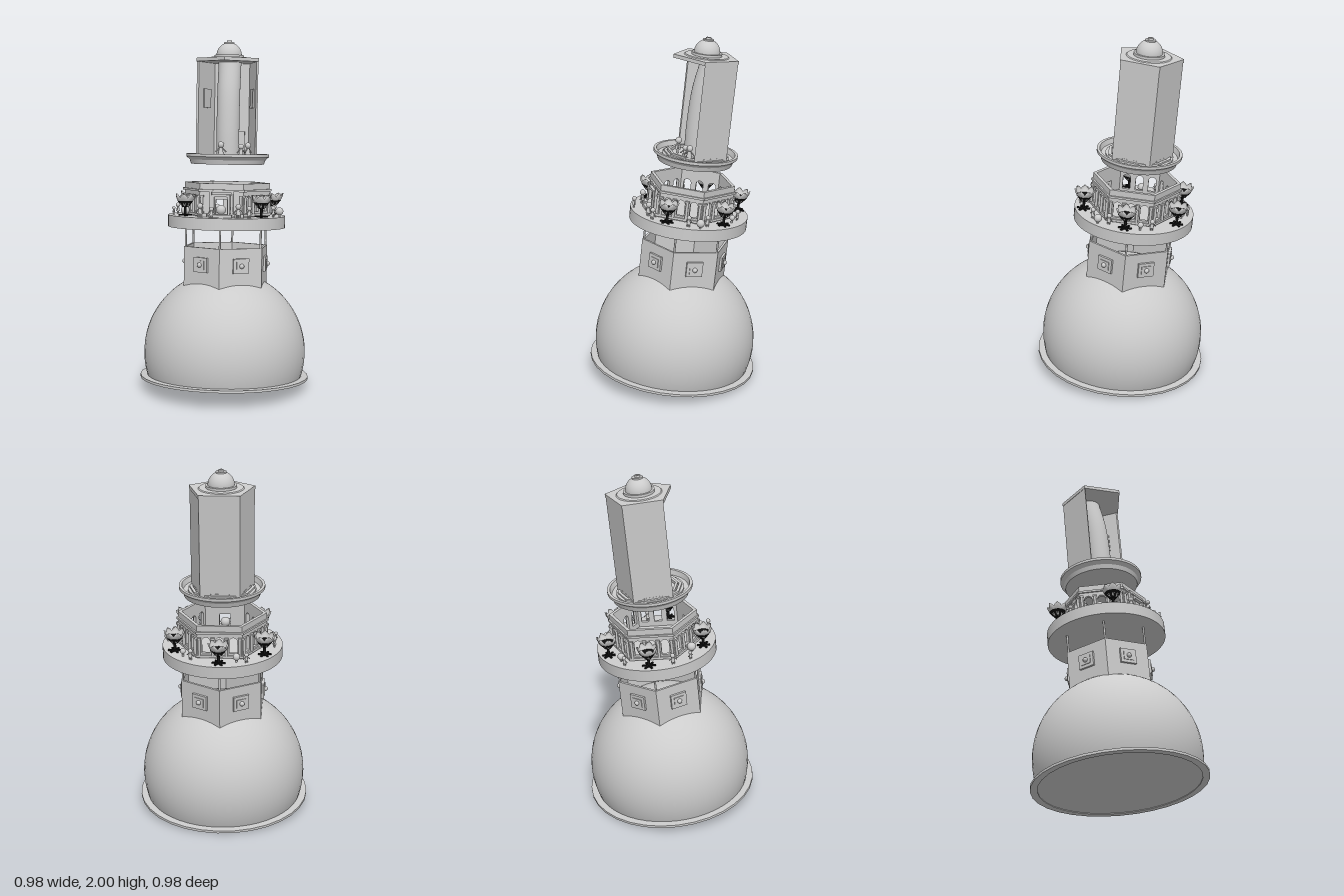
import * as THREE from 'three';

const TAU = Math.PI * 2;
const smooth = new THREE.MeshStandardMaterial({ color: 0xcccccc, side: THREE.DoubleSide });
const flat = new THREE.MeshStandardMaterial({ color: 0xcccccc, side: THREE.DoubleSide, flatShading: true });
const dark = new THREE.MeshStandardMaterial({ color: 0x111111, side: THREE.DoubleSide });

function add(parent, name, geo, mat = smooth, x = 0, y = 0, z = 0) {
  const m = new THREE.Mesh(geo, mat);
  m.name = name;
  m.position.set(x, y, z);
  parent.add(m);
  return m;
}
const box = (w, h, d) => new THREE.BoxGeometry(w, h, d);
const ball = (r, n = 16) => new THREE.SphereGeometry(r, n, Math.ceil(n * 0.6));
const rod = (r, h, n = 8) => new THREE.CylinderGeometry(r, r, h, n);

// turned profile; every span gets its own crisp normals
function turned(parent, name, pts, seg = 48) {
  const g = new THREE.Group();
  g.name = name;
  for (let i = 0; i + 1 < pts.length; i++) {
    const span = [pts[i], pts[i + 1]].map(p => new THREE.Vector2(...p));
    add(g, name + 'Band', new THREE.LatheGeometry(span, seg));
  }
  parent.add(g);
  return g;
}

// regular polygon in plan, angle 0 pointing to the front
const corner = (n, r, k, turn = 0) => {
  const a = (k + turn) * TAU / n;
  return new THREE.Vector2(r * Math.sin(a), -r * Math.cos(a));
};
const polygon = (n, r, turn = 0) => Array.from({ length: n }, (_, k) => corner(n, r, k, turn));
function prism(points, height, hole) {
  const s = new THREE.Shape(points);
  if (hole) s.holes.push(new THREE.Path(hole));
  return new THREE.ExtrudeGeometry(s, { depth: height, bevelEnabled: false }).rotateX(-Math.PI / 2);
}
// group turned about the axis, its +z facing outward
function facing(parent, name, angle) {
  const g = new THREE.Group();
  g.name = name;
  g.rotation.y = angle;
  parent.add(g);
  return g;
}

function figure(parent, x, y, z, s = 1) {
  const g = new THREE.Group();
  g.name = 'figure';
  add(g, 'body', new THREE.CylinderGeometry(0.008, 0.014, 0.032, 10), smooth, 0, 0.034, 0);
  add(g, 'head', ball(0.016), smooth, 0, 0.064, 0);
  for (const d of [-1, 1]) {
    add(g, 'leg', rod(0.005, 0.02), smooth, d * 0.007, 0.01, 0);
    add(g, 'arm', rod(0.0035, 0.028), smooth, d * 0.018, 0.038, 0).rotation.z = d * 0.8;
  }
  g.position.set(x, y, z);
  g.rotation.y = Math.atan2(x, z);
  g.scale.setScalar(s);
  parent.add(g);
}

// curved pointed petal: flat grid bent up and outward
function petalGeometry() {
  const g = new THREE.PlaneGeometry(1, 1, 6, 8);
  const p = g.attributes.position;
  for (let i = 0; i < p.count; i++) {
    const u = p.getX(i) * 2, t = p.getY(i) + 0.5;
    const w = 0.026 * Math.sqrt(Math.sin(Math.PI * (0.12 + 0.88 * t)) + 0.001);
    const r = 0.018 + 0.034 * Math.sin(t * 1.7) + 0.008 * t * t;
    p.setXYZ(i, u * w, 0.075 * t, r - 0.009 * u * u);
  }
  g.computeVertexNormals();
  return g;
}

function lotus(parent, x, y, z) {
  const g = new THREE.Group();
  g.name = 'lotus';
  add(g, 'stem', rod(0.008, 0.06), dark, 0, 0.03, 0);
  for (let k = 0; k < 3; k++) add(g, 'foot', box(0.075, 0.008, 0.01), dark, 0, 0.008, 0).rotation.y = k * TAU / 6;
  add(g, 'cup', new THREE.CylinderGeometry(0.046, 0.018, 0.035, 20), dark, 0, 0.07, 0);
  const petal = petalGeometry();
  for (let k = 0; k < 7; k++) add(g, 'petal', petal, smooth, 0, 0.053, 0).rotation.y = k * TAU / 7;
  g.position.set(x, y, z);
  parent.add(g);
}

// wall panel with arched or square openings
function wallGeometry(w, h, openings) {
  const s = new THREE.Shape([[-w / 2, 0], [w / 2, 0], [w / 2, h], [-w / 2, h]].map(p => new THREE.Vector2(...p)));
  for (const [cx, hw, y0, y1, arched] of openings) {
    const p = new THREE.Path();
    p.moveTo(cx - hw, y0);
    p.lineTo(cx + hw, y0);
    p.lineTo(cx + hw, y1);
    if (arched) p.absarc(cx, y1, hw, 0, Math.PI, false);
    else p.lineTo(cx - hw, y1);
    p.closePath();
    s.holes.push(p);
  }
  return new THREE.ExtrudeGeometry(s, { depth: 0.018, bevelEnabled: false, curveSegments: 8 });
}

export function createModel() {
  const model = new THREE.Group();
  model.name = 'domedTower';
  const axis = new THREE.Group();
  axis.name = 'leaningAxis';
  axis.rotation.x = -0.107;
  axis.position.y = 0.053;
  model.add(axis);

  // base plate and great dome
  turned(axis, 'basePlate', [[0, 0.004], [0.45, 0.004], [0.45, 0], [0.49, 0], [0.49, 0.014], [0.4, 0.014]], 32);
  add(axis, 'greatDome', new THREE.SphereGeometry(0.47, 48, 32, 0, TAU, 0, Math.acos(-0.135 / 0.47)), smooth, 0, 0.15, 0);

  // six-sided drum with plaques and poles
  add(axis, 'drum', prism(polygon(6, 0.26), 0.235, polygon(6, 0.245)), flat, 0, 0.535, 0);
  for (let k = 0; k < 6; k++) {
    const f = facing(axis, 'plaque', (k + 0.5) * TAU / 6);
    add(f, 'plaqueBoard', box(0.095, 0.085, 0.018), flat, 0, 0.672, 0.229);
    add(f, 'plaqueField', box(0.06, 0.05, 0.012), flat, 0, 0.672, 0.236);
    add(f, 'plaqueBoss', ball(0.014), smooth, 0, 0.672, 0.244);
    const c = corner(6, 0.25, k);
    add(axis, 'pole', rod(0.006, 0.2), smooth, c.x, 0.81, -c.y);
  }

  // garden platform
  turned(axis, 'platform', [[0, 0.88], [0.34, 0.88], [0.34, 0.948], [0, 0.948]], 64);
  const deck = 0.948;
  for (const [x, z] of [[0, -0.295], [-0.245, -0.16], [0.257, -0.13], [-0.21, 0.197], [0.225, 0.19]]) lotus(axis, x, deck, z);
  const people = [[-0.115, 0.255, 1], [0.105, 0.27, 1], [0.165, 0.26, 0.85], [-0.04, 0.32, 0.8], [0.28, 0.08, 0.8],
    [0.16, -0.24, 0.8], [-0.295, -0.035, 0.8], [-0.15, -0.265, 0.7], [0.275, -0.03, 0.8], [-0.3, 0.07, 0.6]];
  for (const [x, z, s] of people) figure(axis, x, deck, z, s);
  for (const [x, z, r] of [[-0.225, 0.115, 0.025], [0.31, 0.02, 0.023], [-0.095, -0.26, 0.02], [0.205, -0.195, 0.016]]) {
    add(axis, 'bush', ball(r), smooth, x, deck + 0.03, z);
    add(axis, 'bushTrunk', rod(0.006, 0.03), smooth, x, deck + 0.015, z);
  }

  // six-sided arcade, one flat side to the front
  const arches = [-0.075, 0, 0.075].map(x => [x, 0.022, 0.03, 0.1, true]);
  const sideWall = wallGeometry(0.25, 0.19, arches);
  const frontWall = wallGeometry(0.25, 0.19, [[0, 0.032, 0.002, 0.1, false]]);
  for (let k = 0; k < 6; k++) {
    const f = facing(axis, k ? 'arcadeSide' : 'entranceSide', k * TAU / 6);
    add(f, 'wall', k ? sideWall : frontWall, flat, 0, deck, 0.198);
    add(f, 'cornice', box(0.256, 0.012, 0.012), flat, 0, deck + 0.15, 0.219);
    add(f, 'plinth', box(0.256, 0.014, 0.012), flat, 0, deck + 0.012, 0.219);
    for (const x of [-0.112, -0.0375, 0.0375, 0.112]) {
      if (!k && Math.abs(x) < 0.1) continue;
      add(f, 'column', rod(0.008, 0.1), smooth, x, deck + 0.068, 0.222);
      add(f, 'capital', box(0.022, 0.01, 0.016), flat, x, deck + 0.118, 0.222);
    }
    if (k) continue;
    // stepped door surround and porch
    for (const [hw, h, z] of [[0.062, 0.148, 0.222], [0.045, 0.122, 0.23]]) {
      for (const d of [-1, 1]) add(f, 'doorJamb', box(0.014, h, 0.018), flat, d * hw, deck + h / 2, z);
      add(f, 'doorLintel', box(hw * 2 + 0.014, 0.014, 0.018), flat, 0, deck + h, z);
    }
    add(f, 'porchStep', box(0.13, 0.016, 0.05), flat, 0, deck + 0.008, 0.238);
    add(f, 'doorOrb', ball(0.028), smooth, 0, deck + 0.042, 0.225);
    for (const d of [-1, 1]) add(f, 'bench', box(0.05, 0.02, 0.02), flat, d * 0.105, deck + 0.01, 0.235);
  }

  // upper dish with raised rim
  turned(axis, 'dish', [[0, 1.245], [0.212, 1.245], [0.22, 1.27], [0.24, 1.288], [0.24, 1.304],
    [0.224, 1.304], [0.215, 1.275], [0.19, 1.275], [0.19, 1.283], [0, 1.283]], 56);
  add(axis, 'basinStep', prism(polygon(10, 0.182, 0.5), 0.012, polygon(10, 0.165, 0.5)), flat, 0, 1.28, 0);
  add(axis, 'basinRim', prism(polygon(10, 0.16, 0.5), 0.02, polygon(10, 0.145, 0.5)), flat, 0, 1.28, 0);

  // five-sided shrine: three walls, two open front sides
  const outer = [1, 2, 3, 4].map(k => corner(5, 0.187, k));
  const inner = [4, 3, 2, 1].map(k => corner(5, 0.175, k));
  add(axis, 'shrineWalls', prism([...outer, ...inner], 0.55, null), flat, 0, 1.283, 0);
  for (const k of [1.5, 3.5]) {
    const f = facing(axis, 'wallPanel', k * TAU / 5);
    add(f, 'panelBoard', box(0.085, 0.11, 0.01), flat, 0, 1.625, 0.139);
  }
  add(axis, 'backPanel', box(0.16, 0.15, 0.012), flat, 0, 1.36, -0.135);
  const path = new THREE.CatmullRomCurve3([[1.28, 0.0], [1.45, 0.005], [1.65, -0.005], [1.835, -0.04]]
    .map(([y, z]) => new THREE.Vector3(0, y, z)));
  add(axis, 'innerColumn', new THREE.TubeGeometry(path, 24, 0.066, 32));
  for (const [x, z, s] of [[-0.025, 0.1, 1.15], [0.09, 0.09, 1], [0.128, 0.075, 1.1]]) figure(axis, x, 1.283, z, s);

  // roof plate, mouldings and crowning dome
  add(axis, 'roofPlate', prism(polygon(5, 0.19), 0.02), flat, 0, 1.833, 0);
  turned(axis, 'roofMoulding', [[0.125, 1.853], [0.12, 1.858], [0.085, 1.858], [0.085, 1.872], [0.07, 1.872]]);
  add(axis, 'crownDome', new THREE.SphereGeometry(0.073, 32, 16, 0, TAU, 0, Math.PI / 2), smooth, 0, 1.872, 0);
  turned(axis, 'finial', [[0.03, 1.935], [0.03, 1.946], [0.016, 1.946], [0.014, 1.956], [0.008, 1.956], [0, 1.946]], 24);
  return model;
}
